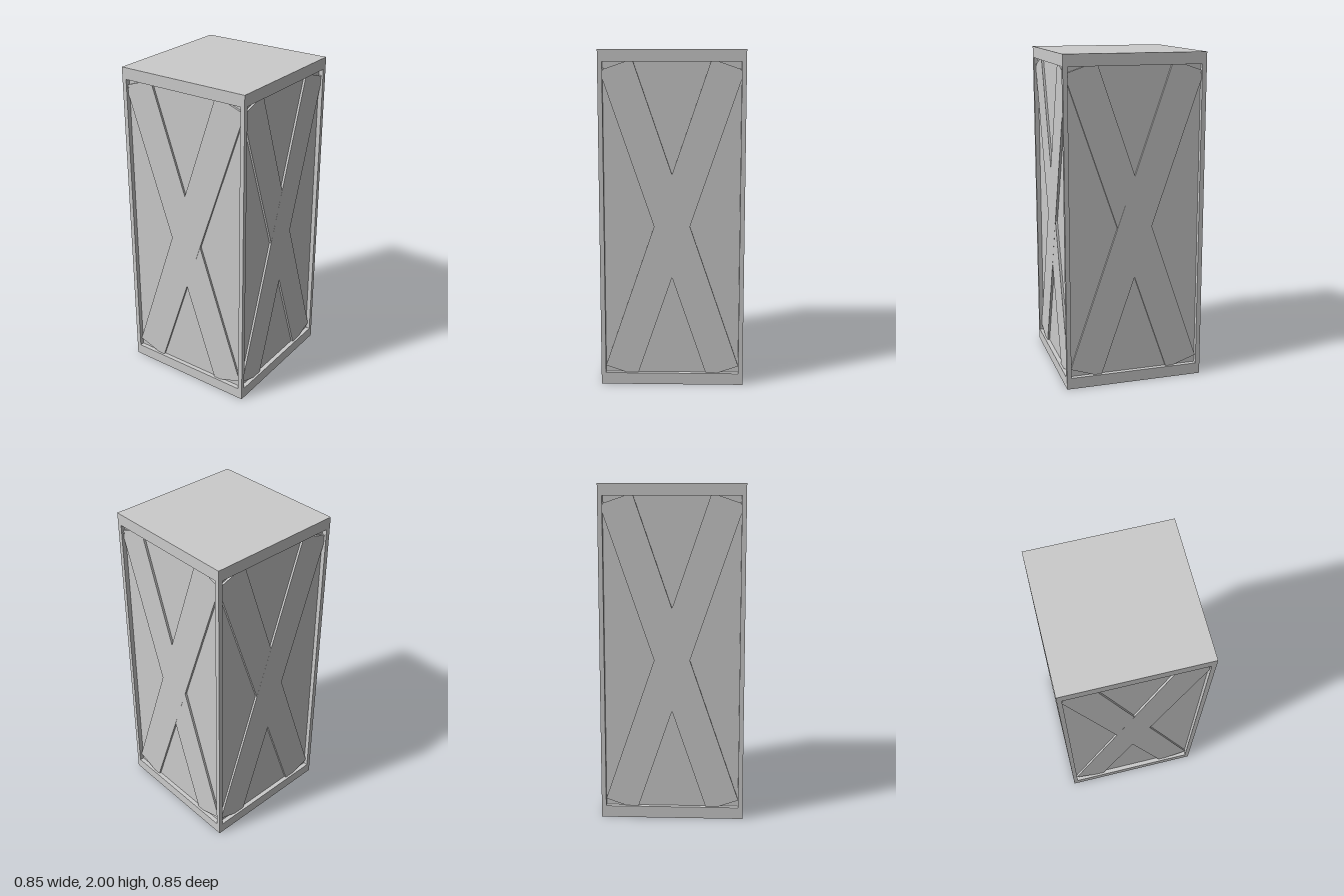
import * as THREE from 'three';

export function createModel() {
  const model = new THREE.Group();
  model.name = 'crate';
  const material = new THREE.MeshStandardMaterial({ color: 0xcccccc, flatShading: true });

  const WIDTH = 0.854, HEIGHT = 2, CAP = 0.07, POST = 0.027;
  const CORE = WIDTH - 2 * POST;

  function box(name, w, h, d, x, y, z, parent = model) {
    const mesh = new THREE.Mesh(new THREE.BoxGeometry(w, h, d), material);
    mesh.name = name;
    mesh.position.set(x, y, z);
    parent.add(mesh);
    return mesh;
  }

  // Solid caps and the recessed walls between them
  box('bottomCap', WIDTH, CAP, WIDTH, 0, CAP / 2, 0);
  box('topCap', WIDTH, CAP, WIDTH, 0, HEIGHT - CAP / 2, 0);
  box('wallPanels', CORE, HEIGHT - 2 * CAP, CORE, 0, HEIGHT / 2, 0);

  // Slim corner posts
  const postOffset = (WIDTH - POST) / 2;
  for (const sx of [-1, 1]) {
    for (const sz of [-1, 1]) {
      box('cornerPost', POST, HEIGHT - 2 * CAP, POST, sx * postOffset, HEIGHT / 2, sz * postOffset);
    }
  }

  // Crossed planks on each wall, their ends tucked into the frame
  const tilt = 0.33, plankWidth = 0.2, plankLength = 1.938, plankDepth = 0.02;
  const shift = 0.026; // planks reach a little further above the crossing
  for (let side = 0; side < 4; side++) {
    const brace = new THREE.Group();
    brace.name = 'crossBrace';
    brace.rotation.y = side * Math.PI / 2;
    const crossY = side % 2 ? 0.972 : 0.98;
    for (const s of [-1, 1]) {
      const z = CORE / 2 + 0.013 - plankDepth / 2 + (s > 0 ? 0.0005 : 0);
      const plank = box('bracePlank', plankWidth, plankLength, plankDepth,
        s * shift * Math.sin(tilt), crossY + shift * Math.cos(tilt), z, brace);
      plank.rotation.z = -s * tilt;
    }
    model.add(brace);
  }

  return model;
}
